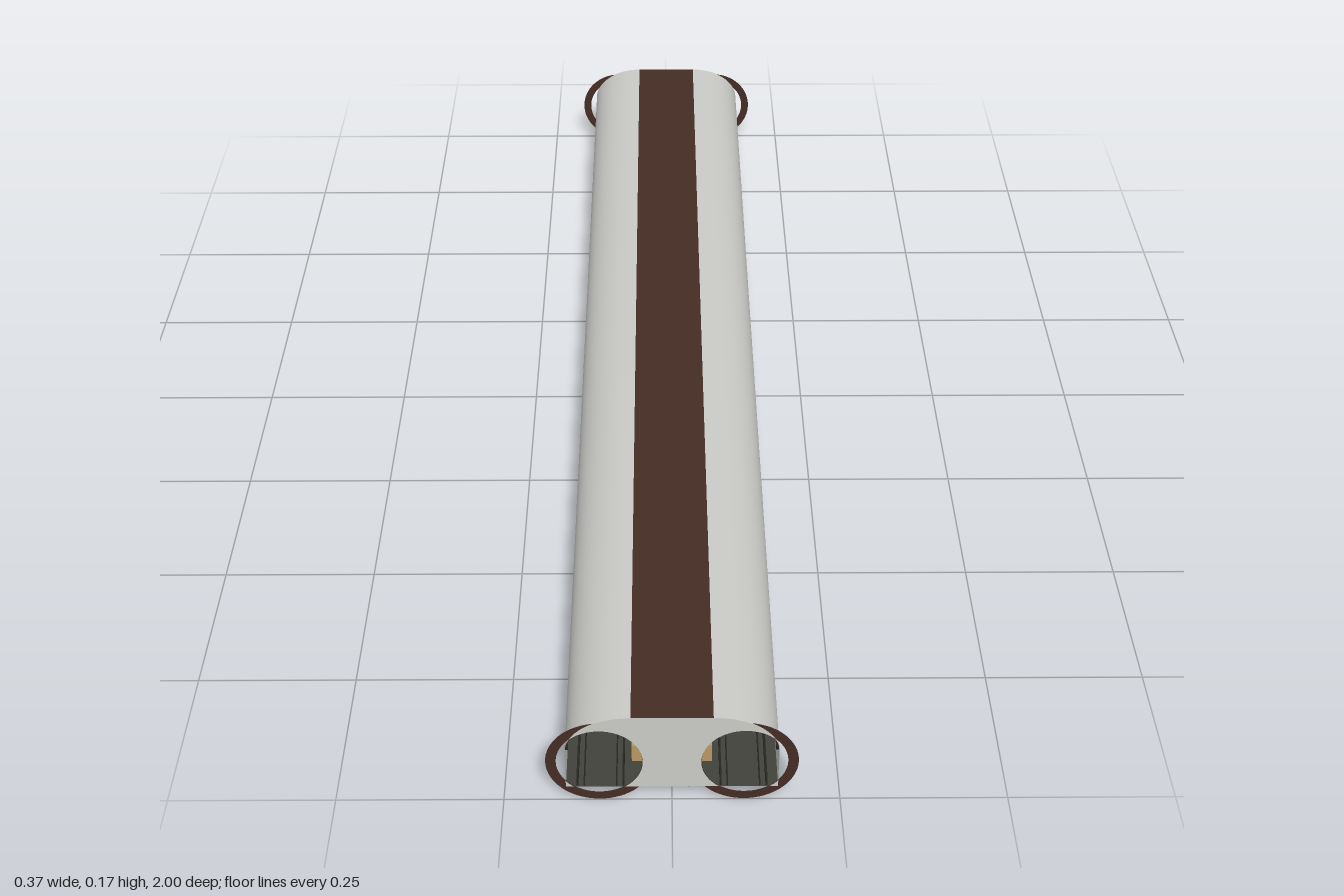
import * as THREE from 'three';

const L = 2, HALF_W = 0.157, FLOOR = 0.027, TOP = 0.17, FLAT = 0.06;
const CX = 0.107, CY = 0.079, R = 0.064, R_OUT = 0.079; // bore circle
const EY = 0.10; // height where the wall starts to curve in

const mat = (name, color, side = THREE.DoubleSide) => {
  const m = new THREE.MeshStandardMaterial({ color, side });
  m.name = name;
  return m;
};

// point on the curved shoulder, t = 0 at the wall, 1 at the flat roof
function shoulder(t) {
  const a = t * Math.PI / 2;
  return new THREE.Vector2(
    FLAT + (HALF_W - FLAT) * Math.cos(a),
    EY + (TOP - EY) * Math.sin(a));
}

// sheet swept along z from an open profile
function sweep(profile) {
  const pos = [], idx = [];
  profile.forEach((p, i) => {
    pos.push(p.x, p.y, L / 2, p.x, p.y, -L / 2);
    if (i) {
      const a = 2 * (i - 1);
      idx.push(a, a + 1, a + 3, a, a + 3, a + 2);
    }
  });
  const g = new THREE.BufferGeometry();
  g.setAttribute('position', new THREE.Float32BufferAttribute(pos, 3));
  g.setIndex(idx);
  g.computeVertexNormals();
  return g;
}

// points along the bore circle, angles in degrees
function bore(from, to, n) {
  return Array.from({ length: n + 1 }, (_, i) => {
    const a = THREE.MathUtils.degToRad(from + (to - from) * i / n);
    return new THREE.Vector2(CX + R * Math.cos(a), CY + R * Math.sin(a));
  });
}

export function createModel() {
  const concrete = mat('light concrete', 0xcbcbc8);
  const brown = mat('dark brown', 0x452d24);
  const dark = mat('dark floor', 0x40423b);
  const steel = mat('rail black', 0x252523);
  const tan = mat('tan', 0xb89a62);

  const model = new THREE.Group();
  model.name = 'twinTunnel';
  const add = (parent, name, geo, material, x = 0, y = 0, z = 0) => {
    const m = new THREE.Mesh(geo, material);
    m.name = name;
    m.position.set(x, y, z);
    parent.add(m);
    return m;
  };

  // wall and shoulder profile
  const wall = [new THREE.Vector2(HALF_W, FLOOR)];
  for (let i = 0; i <= 16; i++) wall.push(shoulder(i / 16));
  const wallGeo = sweep(wall);

  // half of the end wall, cut by the bore
  const face = [new THREE.Vector2(0, TOP), new THREE.Vector2(0, FLOOR), ...bore(234.3, 46.5, 40)];
  for (let i = 0; i <= 16; i++) {
    const p = shoulder(i / 16);
    if (p.y > 0.126) face.push(p);
  }
  const faceGeo = new THREE.ShapeGeometry(new THREE.Shape(face));

  // small corner left below the bore
  const corner = [new THREE.Vector2(HALF_W, FLOOR), ...bore(-38.6, -54.3, 6)];
  const cornerGeo = new THREE.ShapeGeometry(new THREE.Shape(corner));
  const ringGeo = new THREE.RingGeometry(R - 0.0005, R_OUT, 64);

  // one tunnel half, repeated by half a turn
  for (const turn of [0, Math.PI]) {
    const half = new THREE.Group();
    half.name = turn ? 'rightTunnel' : 'leftTunnel';
    half.rotation.y = turn;
    model.add(half);
    add(half, 'sideWall', wallGeo, concrete);
    for (const s of [1, -1]) {
      const z = s * L / 2;
      add(half, 'endWall', faceGeo, concrete, 0, 0, z);
      add(half, 'endCorner', cornerGeo, concrete, 0, 0, z);
      add(half, 'portalRing', ringGeo, brown, CX, CY, z - s * 0.001);
    }
    // running rails, with low guide strips between them
    for (const [x, w, h] of [[0.14, 0.003, 0.011], [0.13, 0.002, 0.005],
      [0.082, 0.002, 0.005], [0.072, 0.003, 0.011]]) {
      add(half, 'rail', new THREE.BoxGeometry(w, h, L - 0.004), steel, x, FLOOR + h / 2);
    }
    add(half, 'wallCable', new THREE.BoxGeometry(0.004, 0.005, L - 0.004), steel, 0.154, 0.105);
  }

  // roof strip and floor slab
  add(model, 'roofStrip', new THREE.PlaneGeometry(2 * FLAT, L).rotateX(-Math.PI / 2), brown, 0, TOP);
  add(model, 'floor', new THREE.PlaneGeometry(2 * HALF_W, L).rotateX(-Math.PI / 2), dark, 0, FLOOR);

  // blocks between the tracks near each end
  for (const s of [1, -1]) {
    add(model, 'centreBlock', new THREE.BoxGeometry(2 * FLAT, 0.034, 0.12), tan, 0, 0.043, s * 0.89);
  }
  return model;
}
